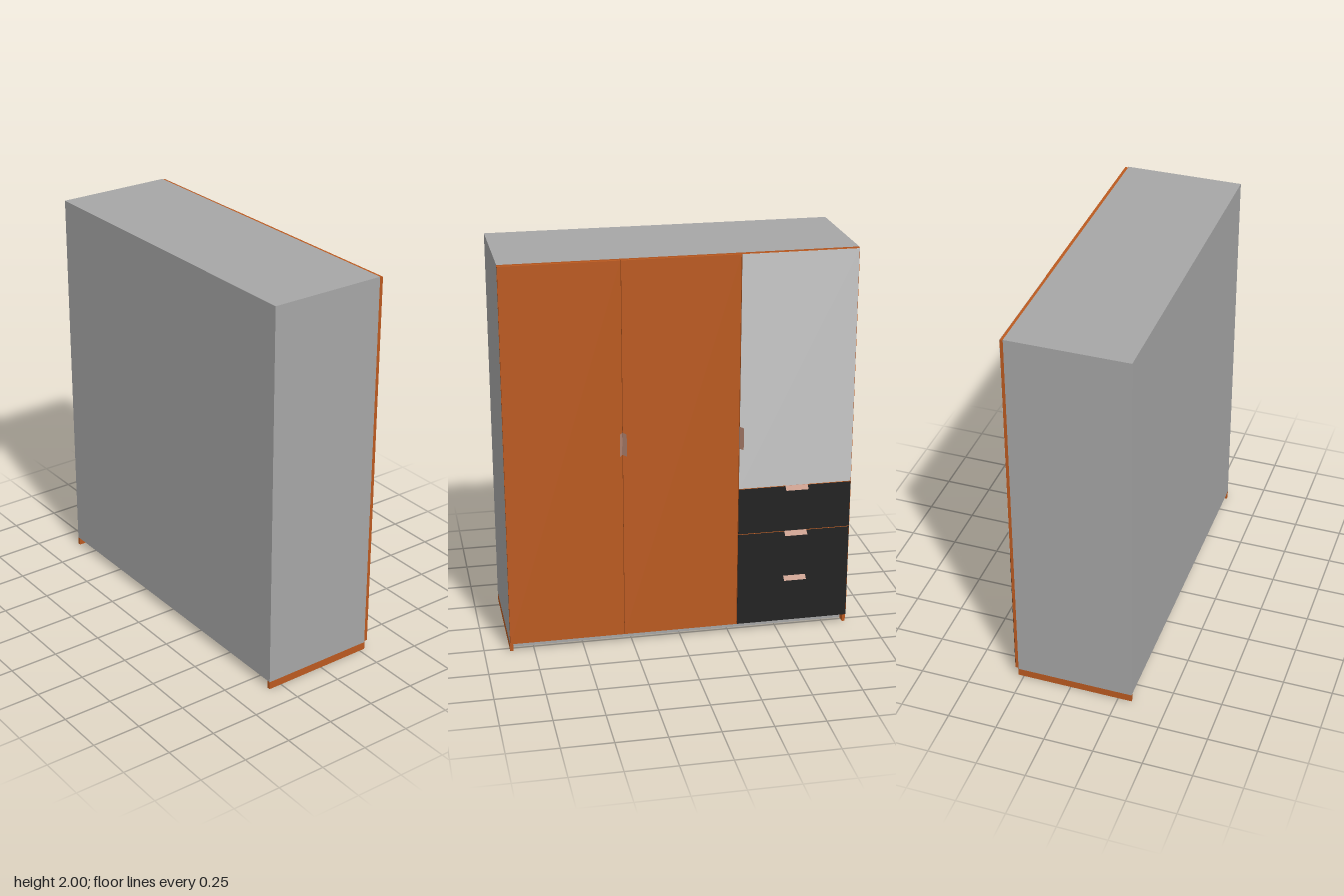
import * as THREE from 'three';

const mat = (name, color, side = THREE.FrontSide) => {
  const m = new THREE.MeshStandardMaterial({ color, side });
  m.name = name;
  return m;
};

export function createModel() {
  const root = new THREE.Group();
  root.name = 'wardrobe';
  const grey = mat('grey laminate', 0xa6a6a6);
  const orange = mat('orange wood', 0xbb5a20);
  const black = mat('black drawer', 0x222222);
  const pale = mat('pale mirror', 0xc8c8c8);
  const copper = mat('copper handle', 0xb88874, THREE.DoubleSide);

  // Box given by its min and max on each axis
  const box = (name, material, [x0, x1], [y0, y1], [z0, z1], parent = root) => {
    const mesh = new THREE.Mesh(new THREE.BoxGeometry(x1 - x0, y1 - y0, z1 - z0), material);
    mesh.position.set((x0 + x1) / 2, (y0 + y1) / 2, (z0 + z1) / 2);
    mesh.name = name;
    parent.add(mesh);
    return mesh;
  };

  const back = -0.32, front = 0.28, face = 0.296, tip = 0.32;
  const half = 0.871, base = 0.04;

  // Cabinet body with an orange front edge and underside lip
  box('cabinetBody', grey, [back, front - 0.002], [base, 2], [-half, half]);
  box('cabinetFrontEdge', orange, [front - 0.002, front], [base, 2], [-half, half]);
  box('undersideLip', orange, [0.235, front], [base - 0.002, base], [-half, half]);

  // Base: two side runners and a recessed plinth
  for (const s of [-1, 1]) {
    const z = [s * half, s * (half - 0.016)].sort((a, b) => a - b);
    box(s > 0 ? 'leftRunner' : 'rightRunner', orange, [back, front], [0, base], z);
  }
  box('plinth', grey, [0.22, 0.236], [0, base], [-half + 0.016, half - 0.016]);

  // Two tall doors
  const top = 1.996, low = 0.046;
  box('leftDoor', orange, [front, face], [low, top], [0.294, 0.87]);
  box('middleDoor', orange, [front, face], [low, top], [-0.288, 0.29]);

  // Orange-edged panels with a coloured plate on the face
  const facedPanel = (name, material, y0, y1) => {
    const panel = new THREE.Group();
    panel.name = name;
    box(name + 'Core', orange, [front, face - 0.002], [y0, y1], [-0.87, -0.292], panel);
    box(name + 'Face', material, [face - 0.002, face], [y0, y1], [-0.868, -0.292], panel);
    root.add(panel);
  };
  facedPanel('mirrorDoor', pale, 0.794, top);
  facedPanel('upperDrawer', black, 0.547, 0.79);
  facedPanel('lowerDrawer', black, low, 0.543);

  // Handle: thin folded plate, flat on the panel edge and flared outward
  const handle = (name, length, flare) => {
    const pts = [[front, 0], [face, 0], [tip, flare]];
    const pos = [];
    for (const [x, y] of pts) pos.push(x, y, -length / 2, x, y, length / 2);
    const geo = new THREE.BufferGeometry();
    geo.setAttribute('position', new THREE.Float32BufferAttribute(pos, 3));
    geo.setIndex([0, 1, 2, 1, 3, 2, 2, 3, 4, 3, 5, 4]);
    const flat = geo.toNonIndexed();
    flat.computeVertexNormals();
    const mesh = new THREE.Mesh(flat, copper);
    mesh.name = name;
    root.add(mesh);
    return mesh;
  };

  // Drawer handles slope down
  [0.793, 0.546, 0.297].forEach((y, i) => {
    handle('drawerHandle' + (i + 1), 0.115, -0.018).position.set(0, y, -0.587);
  });

  // Door handles stand upright and flare to the side
  const doorHandle = (name, y, z, flare) => {
    const h = handle(name, 0.115, flare);
    h.rotation.x = Math.PI / 2;
    h.position.set(0, y, z);
  };
  doorHandle('leftDoorHandle', 1.078, 0.293, 0.016);
  doorHandle('middleDoorHandle', 1.078, 0.291, -0.016);
  doorHandle('mirrorDoorHandle', 1.067, -0.291, -0.016);

  return root;
}
